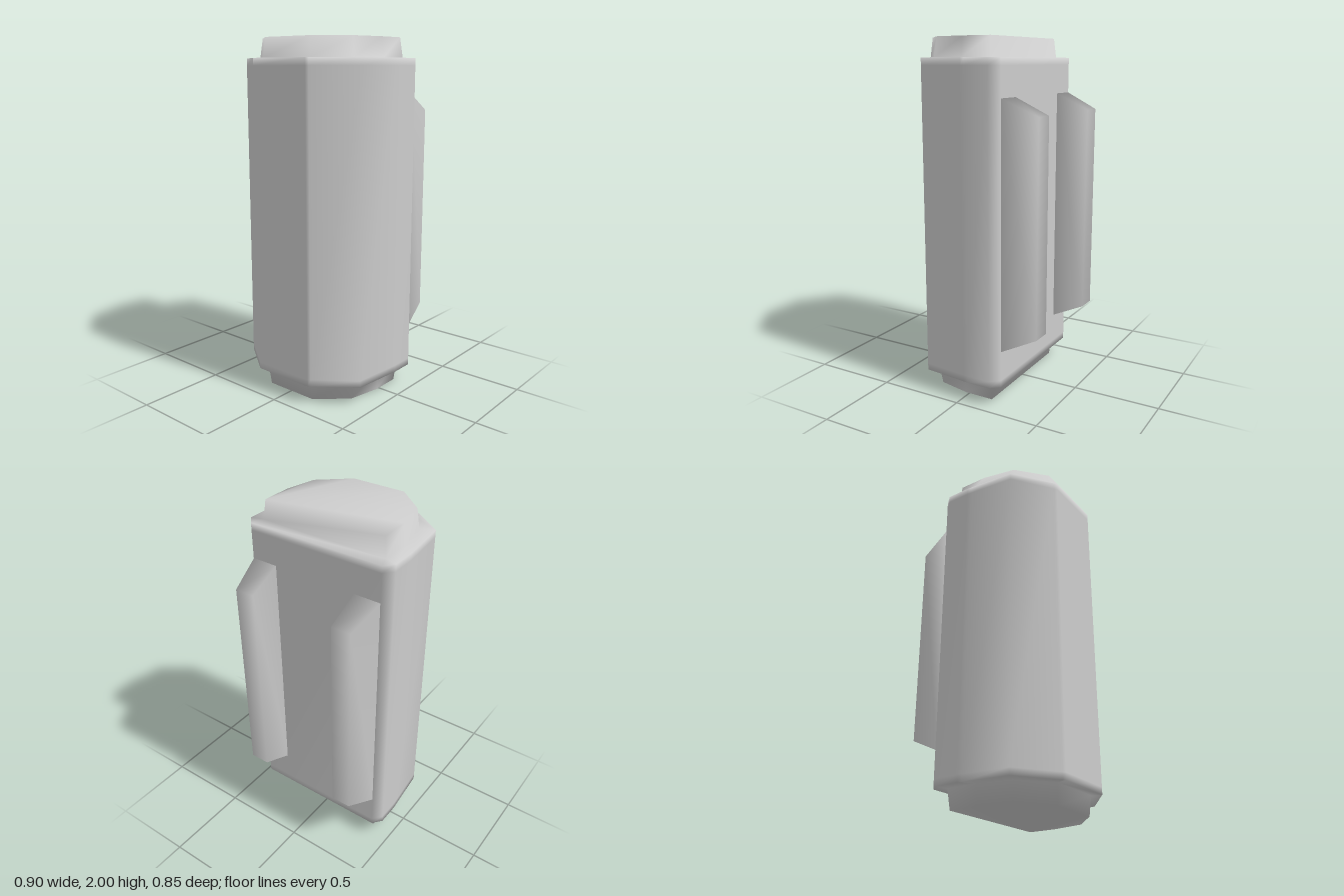
import * as THREE from 'three';
import { mergeVertices } from 'three/addons/utils/BufferGeometryUtils.js';

// Smooth closed loft through rings of 3D points, capped by fans from vertex `pivot`
function loft(rings, pivot = 0) {
  const n = rings[0].length, last = (rings.length - 1) * n, index = [];
  for (let r = 0; r < rings.length - 1; r++) {
    for (let i = 0; i < n; i++) {
      const a = r * n + i, b = r * n + (i + 1) % n;
      index.push(a, b, b + n, a, b + n, a + n);
    }
  }
  for (let k = 1; k < n - 1; k++) {
    const p = (pivot + k) % n, q = (pivot + k + 1) % n;
    index.push(last + pivot, last + p, last + q, pivot, q, p);
  }
  const geometry = new THREE.BufferGeometry();
  geometry.setAttribute('position', new THREE.Float32BufferAttribute(rings.flat(2), 3));
  geometry.setIndex(index);
  const merged = mergeVertices(geometry, 1e-4);
  merged.computeVertexNormals();
  return merged;
}

// Mirror a half outline of [x, z] points and place it at height y
function section(half, y) {
  const mirrored = half.map(([x, z]) => [-x, z]).reverse();
  return [...half, ...mirrored].map(([x, z]) => [x, y, z]);
}

export function createModel() {
  const model = new THREE.Group();
  const grey = new THREE.MeshStandardMaterial({ color: 0xcccccc });
  grey.name = 'plain grey';

  const add = (name, geometry) => {
    const mesh = new THREE.Mesh(geometry, grey);
    mesh.name = name;
    model.add(mesh);
  };

  // Faceted canister with a stepped, slightly tapered end at top and bottom
  const body = [[0.185, 0.423], [0.2, 0.412], [0.42, 0.25], [0.447, -0.015],
    [0.45, -0.04], [0.45, -0.18], [0.405, -0.232]];
  const neck = [[0.17, 0.365], [0.17, 0.365], [0.34, 0.22], [0.38, 0.02],
    [0.38, 0.02], [0.38, -0.16], [0.38, -0.16]];
  const end = [[0.16, 0.355], [0.16, 0.355], [0.327, 0.21], [0.367, 0.02],
    [0.367, 0.02], [0.367, -0.15], [0.367, -0.15]];
  add('canister', loft([
    section(end, 0), section(neck, 0.11), section(body, 0.11), section(body, 0.15),
    section(body, 1.85), section(body, 1.89), section(neck, 1.89), section(end, 2),
  ], 6));

  // Pair of tapered rails on the back
  const railRing = (side, outer, low, high, z) => {
    const ring = [[outer, low], [0.25, low], [0.25, high], [outer, high]]
      .map(([x, y]) => [side * x, y, z]);
    return side > 0 ? ring : ring.reverse();
  };
  for (const side of [1, -1]) {
    add(side > 0 ? 'leftRail' : 'rightRail', loft([
      railRing(side, 0.405, 0.315, 1.69, -0.225),
      railRing(side, 0.365, 0.41, 1.597, -0.427),
    ]));
  }
  return model;
}
